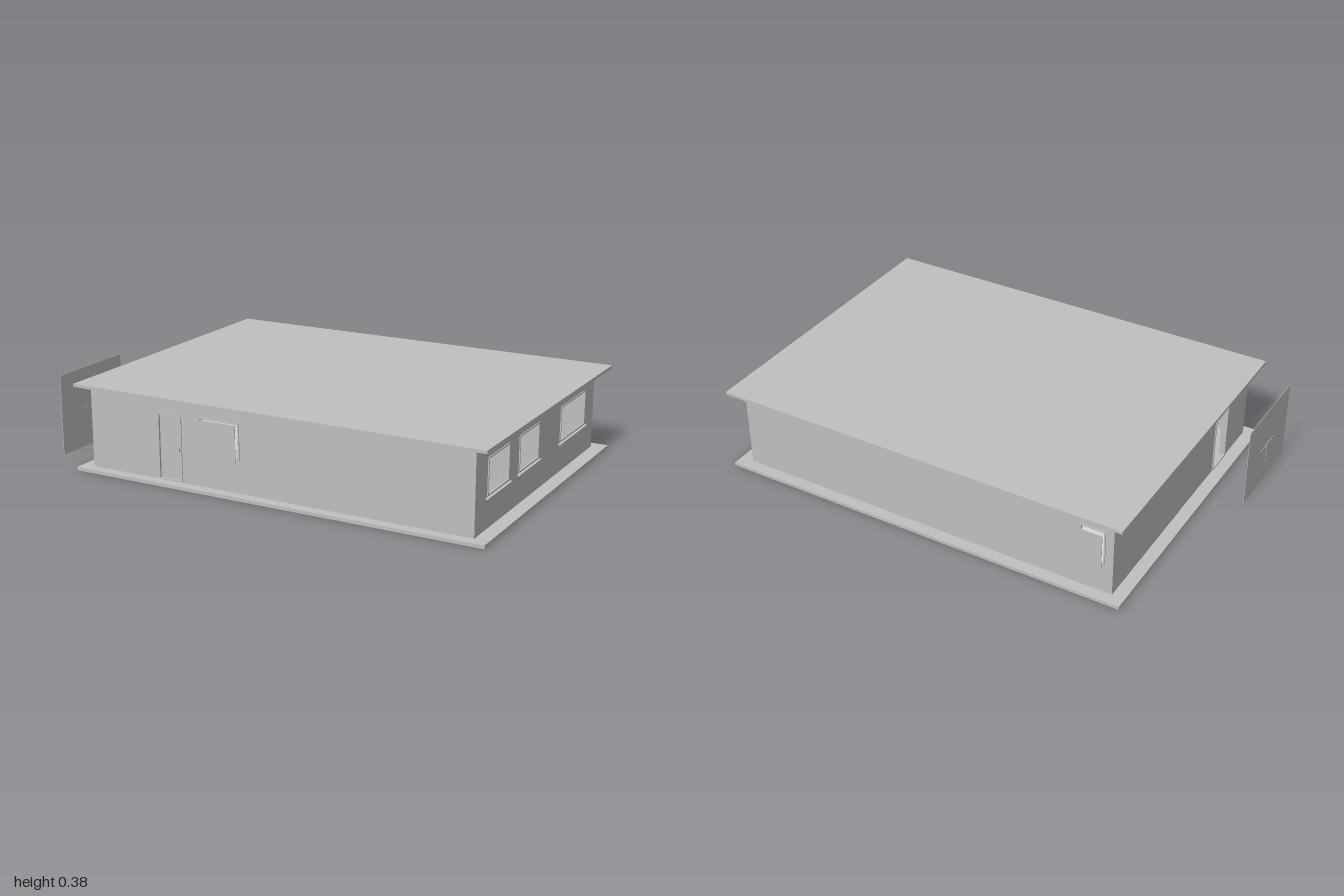
import * as THREE from 'three';

export function createModel() {
  const model = new THREE.Group();
  model.name = 'house';
  const grey = new THREE.MeshStandardMaterial({ color: 0xc0c0c0 });
  grey.name = 'plain grey';

  const THICK = 0.02, BASE = 0.014, TOP = 0.362;

  function box(parent, name, w, h, d, x, y, z) {
    const mesh = new THREE.Mesh(new THREE.BoxGeometry(w, h, d), grey);
    mesh.name = name;
    mesh.position.set(x, y, z);
    parent.add(mesh);
    return mesh;
  }

  // Wall group: local u runs right along the outer face, local z points outward.
  // Openings are [u0, u1, y0, y1].
  function facade(name, angle, x, z, u0, u1, openings) {
    const group = new THREE.Group();
    group.name = name;
    group.position.set(x, 0, z);
    group.rotation.y = angle;
    model.add(group);

    const rect = (Kind, a, b, c, d) => new Kind([
      new THREE.Vector2(a, c), new THREE.Vector2(b, c),
      new THREE.Vector2(b, d), new THREE.Vector2(a, d),
    ]);
    const shape = rect(THREE.Shape, u0, u1, BASE, TOP);
    for (const o of openings) shape.holes.push(rect(THREE.Path, ...o));
    const wall = new THREE.Mesh(
      new THREE.ExtrudeGeometry(shape, { depth: THICK, bevelEnabled: false }), grey);
    wall.name = name + 'Panel';
    wall.position.z = -THICK;
    group.add(wall);
    return group;
  }

  // Four bars lining an opening, standing slightly proud of the wall
  function frame(parent, name, [a, b, c, d], bar = 0.006) {
    const depth = THICK + 0.006, z = -THICK / 2 + 0.001;
    for (const u of [a + bar / 2, b - bar / 2])
      box(parent, name + 'Jamb', bar, d - c, depth, u, (c + d) / 2, z);
    for (const y of [c + bar / 2, d - bar / 2])
      box(parent, name + 'Rail', b - a, bar, depth, (a + b) / 2, y, z);
  }

  // Sloping slats that fill a window
  function louvres(parent, [a, b, c, d], count = 5) {
    const step = (d - c - 0.012) / count;
    for (let i = 0; i < count; i++) {
      const slat = box(parent, 'louvreSlat', b - a - 0.012, 0.03, 0.002,
        (a + b) / 2, c + 0.006 + step * (i + 0.5), -THICK / 2);
      slat.rotation.x = -Math.PI / 4;
    }
  }

  function window(parent, o) {
    frame(parent, 'windowFrame', o);
    louvres(parent, o);
  }

  // Floor slab and flat roof
  box(model, 'floorSlab', 1.845, BASE, 1.355, 0.0775, BASE / 2, -0.0025);
  box(model, 'roof', 1.845, 0.013, 1.355, 0.0775, 0.3685, -0.0025);

  // Front wall: door and a window with a raised shutter
  const doorway = [-0.457, -0.343, 0.016, 0.297];
  const frontWindow = [-0.26, -0.07, 0.15, 0.305];
  const front = facade('frontWall', 0, 0, 0.63, -0.79, 0.94, [doorway, frontWindow]);
  frame(front, 'doorFrame', doorway);
  box(front, 'frontDoor', 0.102, 0.271, 0.006, -0.4, 0.156, -0.008);
  box(front, 'doorHandle', 0.005, 0.014, 0.008, -0.359, 0.15, -0.003);
  window(front, frontWindow);
  box(front, 'frontShutter', 0.19, 0.155, 0.002, -0.165, 0.2275, 0.031);

  // Right wall: three louvred windows with sills
  const sideWindows = [[-0.52, -0.315], [-0.215, -0.01], [0.23, 0.52]]
    .map(([a, b]) => [a, b, 0.145, 0.297]);
  const right = facade('rightWall', Math.PI / 2, 0.94, 0, -0.61, 0.61, sideWindows);
  for (const o of sideWindows) {
    window(right, o);
    box(right, 'windowSill', o[1] - o[0] + 0.028, 0.005, 0.018,
      (o[0] + o[1]) / 2, 0.138, 0.003);
  }

  // Back wall: one small window with a raised shutter
  const backWindow = [0.645, 0.755, 0.145, 0.305];
  const back = facade('backWall', Math.PI, 0, -0.63, -0.94, 0.79, [backWindow]);
  window(back, backWindow);
  box(back, 'backShutter', 0.11, 0.16, 0.002, 0.7, 0.225, 0.031);

  // Left wall: open doorway with a free-standing screen in front of it
  const sideDoorway = [0.295, 0.425, 0.016, 0.305];
  const left = facade('leftWall', -Math.PI / 2, -0.79, 0, -0.61, 0.61, [sideDoorway]);
  frame(left, 'sideDoorFrame', sideDoorway);
  box(left, 'screenPanel', 0.42, 0.352, 0.002, 0.36, 0.189, 0.207);
  box(left, 'screenBar', 0.13, 0.005, 0.006, 0.36, 0.19, 0.207);
  box(left, 'screenPost', 0.004, 0.1, 0.005, 0.36, 0.15, 0.207);

  return model;
}
